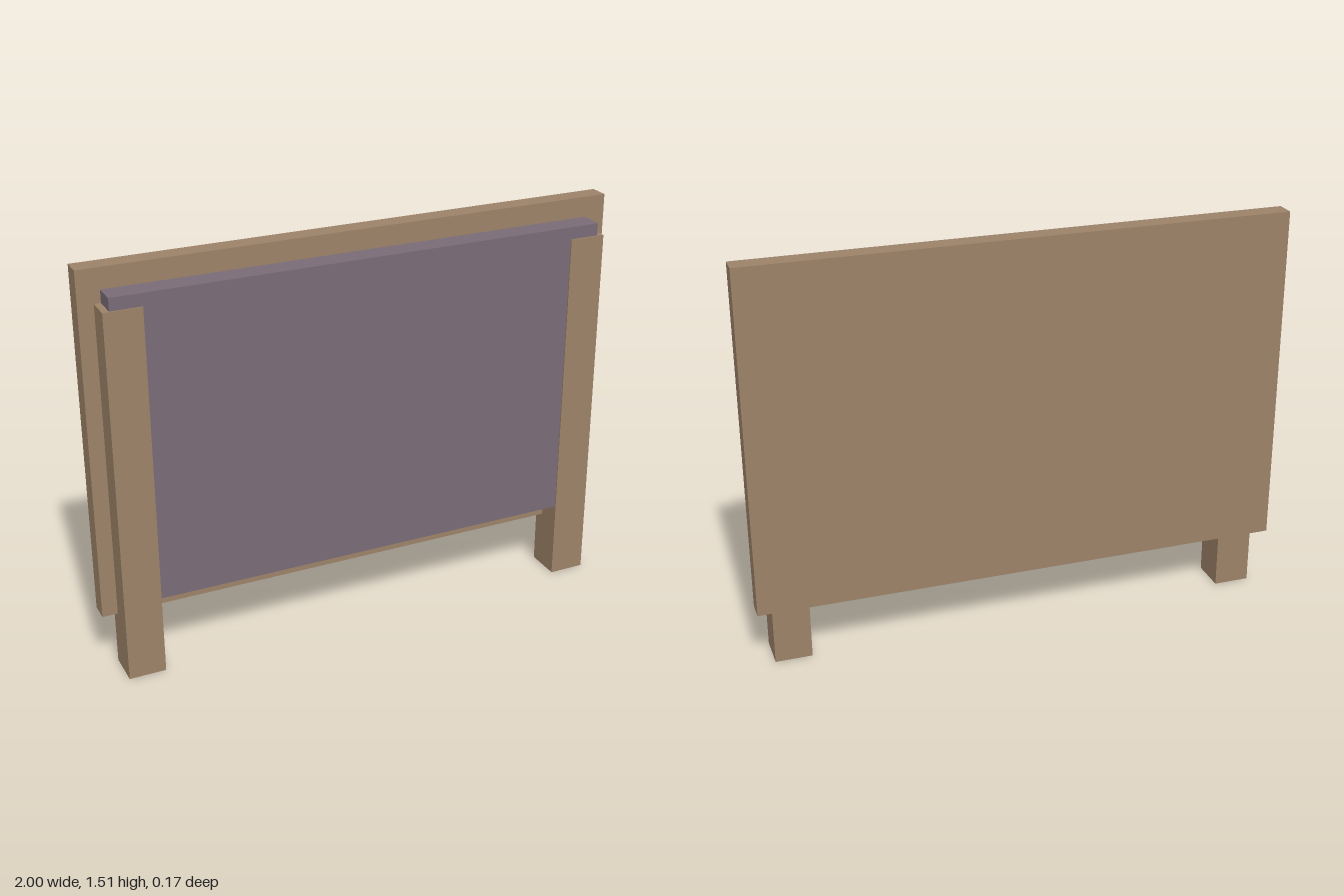
import * as THREE from 'three';

const wood = new THREE.MeshStandardMaterial({ color: 0x9c8268 });
const fabric = new THREE.MeshStandardMaterial({ color: 0x796b76 });

// Box given by its extents along each axis
function block(name, material, [x0, x1], [y0, y1], [z0, z1]) {
  const mesh = new THREE.Mesh(new THREE.BoxGeometry(x1 - x0, y1 - y0, z1 - z0), material);
  mesh.position.set((x0 + x1) / 2, (y0 + y1) / 2, (z0 + z1) / 2);
  mesh.name = name;
  return mesh;
}

export function createModel() {
  const group = new THREE.Group();
  group.name = 'headboard';

  // Wooden back board
  group.add(block('backBoard', wood, [-1, 1], [0.22, 1.508], [-0.083, -0.01]));

  // Padded panel on the front of the board
  group.add(block('paddedPanel', fabric, [-0.92, 0.92], [0.295, 1.432], [-0.01, 0.078]));

  // Square posts, let into the board and mirrored left and right
  for (const side of [-1, 1]) {
    const post = block(side > 0 ? 'leftPost' : 'rightPost', wood, [-0.068, 0.068], [0, 1.386], [-0.053, 0.083]);
    post.position.x = side * 0.876;
    group.add(post);
  }
  return group;
}
